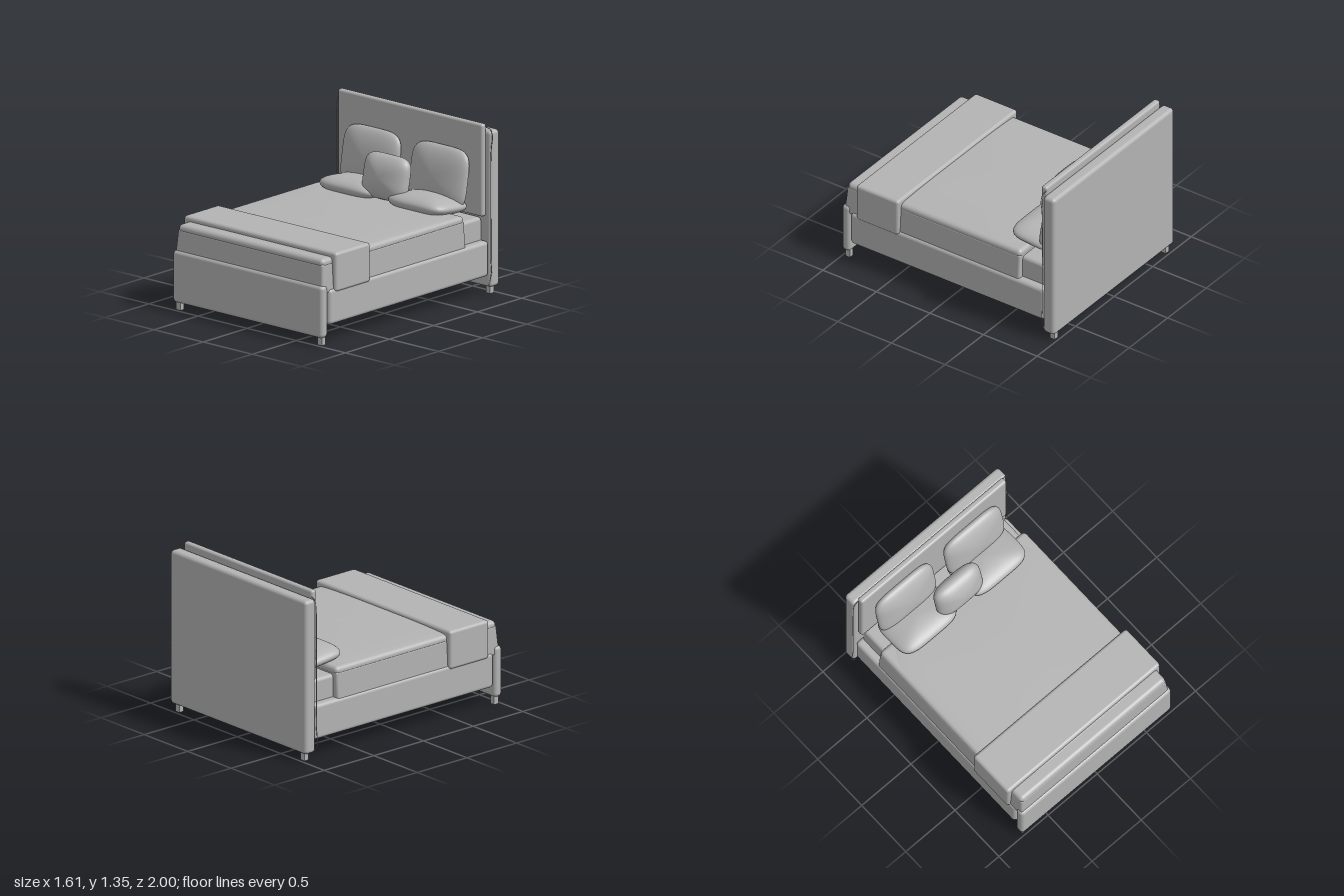
import * as THREE from 'three';
import { mergeVertices } from 'three/addons/utils/BufferGeometryUtils.js';
import { RoundedBoxGeometry } from 'three/addons/geometries/RoundedBoxGeometry.js';

export function createModel() {
  const model = new THREE.Group();
  const fabric = new THREE.MeshStandardMaterial({ color: 0xb3b3b3 });

  function add(name, geometry) {
    const mesh = new THREE.Mesh(geometry, fabric);
    mesh.name = name;
    model.add(mesh);
    return mesh;
  }

  // Upholstered block given by its extents on each axis
  function block(name, [x0, x1], [y0, y1], [z0, z1], radius) {
    const mesh = add(name, new RoundedBoxGeometry(x1 - x0, y1 - y0, z1 - z0, 5, radius));
    mesh.position.set((x0 + x1) / 2, (y0 + y1) / 2, (z0 + z1) / 2);
    return mesh;
  }

  // Plump cushion: a sphere whose outline is pushed towards a rounded rectangle
  function cushion(name, width, height, depth, power, position, tilt) {
    const g = new THREE.SphereGeometry(1, 64, 32);
    g.rotateX(Math.PI / 2);
    g.deleteAttribute('uv');
    g.deleteAttribute('normal');
    const p = g.attributes.position;
    for (let i = 0; i < p.count; i++) {
      const x = p.getX(i), y = p.getY(i), z = p.getZ(i);
      const a = Math.atan2(y, x);
      const s = Math.pow(Math.abs(Math.cos(a)) ** power + Math.abs(Math.sin(a)) ** power, -1 / power);
      p.setXYZ(i, x * s * width / 2, y * s * height / 2, z * depth / 2);
    }
    const smooth = mergeVertices(g, 1e-5);
    smooth.computeVertexNormals();
    const mesh = add(name, smooth);
    mesh.position.set(...position);
    mesh.rotation.x = tilt;
    return mesh;
  }

  // Frame
  block('headboard', [-0.785, 0.78], [0.06, 1.295], [-1, -0.893], 0.03);
  block('headboardPanel', [-0.74, 0.735], [0.62, 1.35], [-0.9, -0.847], 0.02);
  block('footboard', [-0.765, 0.76], [0.06, 0.47], [0.925, 1], 0.03);
  block('bedBase', [-0.765, 0.765], [0.15, 0.43], [-0.895, 0.915], 0.03);
  for (const x of [-0.722, 0.718]) {
    for (const z of [-0.955, 0.957]) {
      const foot = add('foot', new THREE.BoxGeometry(0.044, 0.08, 0.042));
      foot.position.set(x, 0.04, z);
    }
  }

  // Mattress and duvet, the duvet flaring slightly towards its hem
  block('mattress', [-0.7, 0.7], [0.38, 0.61], [-0.89, 0.9], 0.03);
  const duvet = block('duvet', [-0.755, 0.75], [0.4, 0.635], [-0.65, 0.985], 0.02);
  const dp = duvet.geometry.attributes.position;
  for (let i = 0; i < dp.count; i++) {
    const t = (dp.getY(i) + 0.1175) / 0.235;
    dp.setX(i, dp.getX(i) * (1 - 0.02 * t));
    if (dp.getZ(i) > 0) dp.setZ(i, dp.getZ(i) - 0.02 * t);
  }
  block('duvetTop', [-0.74, 0.735], [0.6, 0.672], [-0.652, 0.965], 0.034);
  cushion('duvetCrown', 1.42, 1.5, 0.036, 8, [0, 0.67, 0.12], -Math.PI / 2);

  // Folded throw across the foot end
  block('throwBlanket', [-0.78, 0.775], [0.4, 0.71], [0.46, 0.855], 0.025);

  // Pillows
  for (const side of [-1, 1]) {
    cushion('flatPillow', 0.56, 0.41, 0.165, 4.5, [side * 0.35, 0.703, -0.655], -Math.PI / 2 - 0.1);
    cushion('leaningPillow', 0.57, 0.48, 0.16, 4.5, [side * 0.347, 0.888, -0.79], -0.17);
  }
  cushion('smallPillow', 0.44, 0.35, 0.2, 4.5, [0, 0.855, -0.582], -0.2);

  // Loose seam cord down each edge of the headboard
  function cord(points) {
    const curve = new THREE.CatmullRomCurve3(points.map(([x, y]) => new THREE.Vector3(x, y, -0.893)));
    add('seamCord', new THREE.TubeGeometry(curve, 80, 0.003, 6));
  }
  cord([[0.735, 1.32], [0.78, 1.31], [0.8, 1.26], [0.79, 1.18], [0.784, 1.1], [0.784, 0.4],
    [0.784, 0.28], [0.79, 0.2], [0.775, 0.12], [0.76, 0.07]]);
  cord([[-0.735, 1.3], [-0.77, 1.28], [-0.786, 1.2], [-0.788, 1.1], [-0.788, 0.4],
    [-0.788, 0.26], [-0.8, 0.17], [-0.797, 0.11], [-0.765, 0.07]]);

  return model;
}
